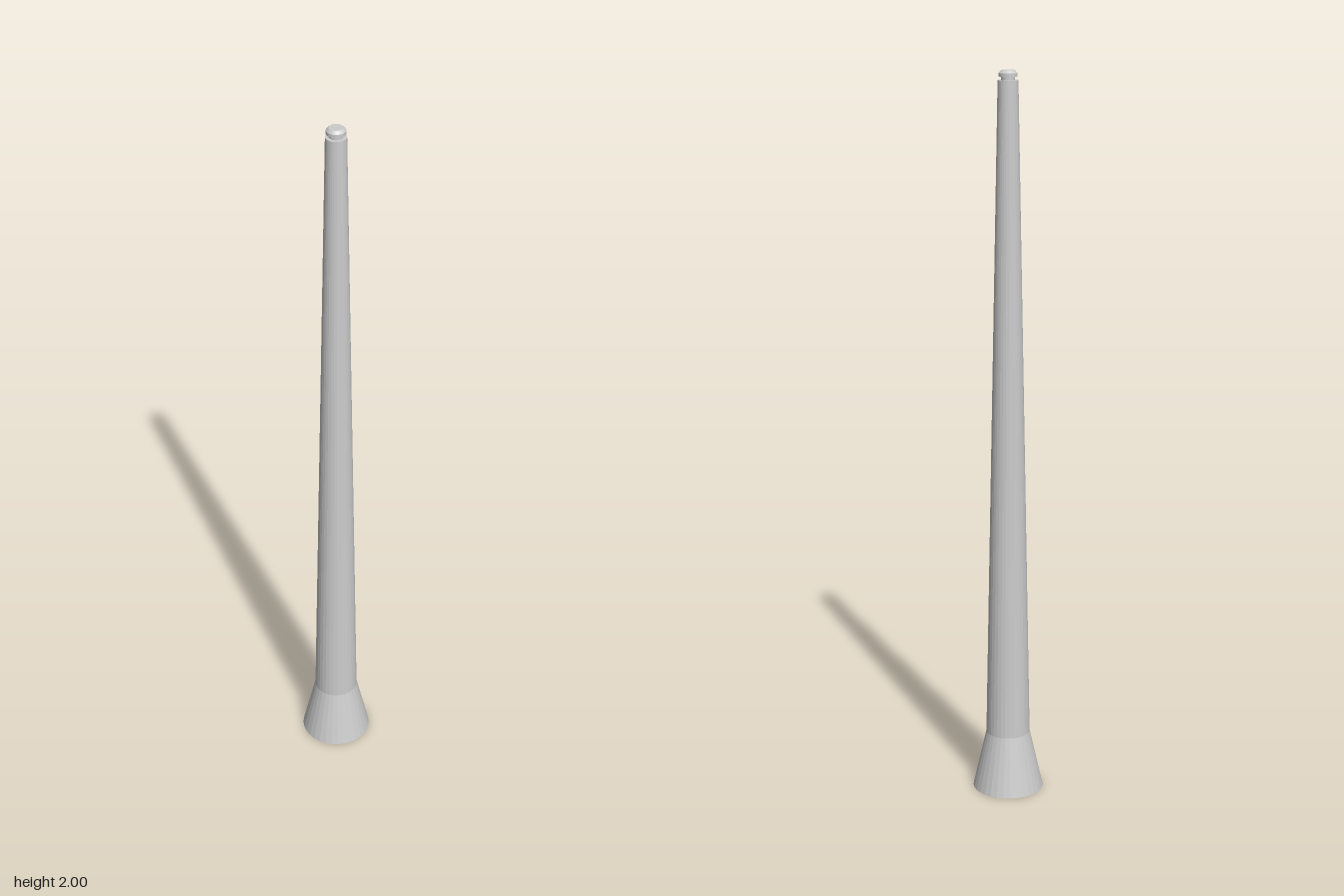
import * as THREE from 'three';

const SIDES = 32;

export function createModel() {
  const model = new THREE.Group();
  const material = new THREE.MeshStandardMaterial({ color: 0xcccccc, flatShading: true });

  // Turned part from [radius, height] points, listed bottom to top
  const turn = (name, points) => {
    const profile = points.map(([r, y]) => new THREE.Vector2(r, y));
    const mesh = new THREE.Mesh(new THREE.LatheGeometry(profile, SIDES), material);
    mesh.name = name;
    model.add(mesh);
  };

  // Flared foot with a closed underside
  turn('flaredBase', [[0, 0], [0.098, 0], [0.061, 0.165]]);

  // Long tapering shaft with a flat top
  turn('shaft', [[0.061, 0.165], [0.027, 1.975], [0, 1.975]]);

  // Thin neck carrying the cap
  turn('neck', [[0.018, 1.975], [0.018, 1.985]]);

  // Small bevelled cap
  turn('cap', [[0, 1.984], [0.025, 1.984], [0.025, 1.993], [0.018, 2], [0, 2]]);

  return model;
}
